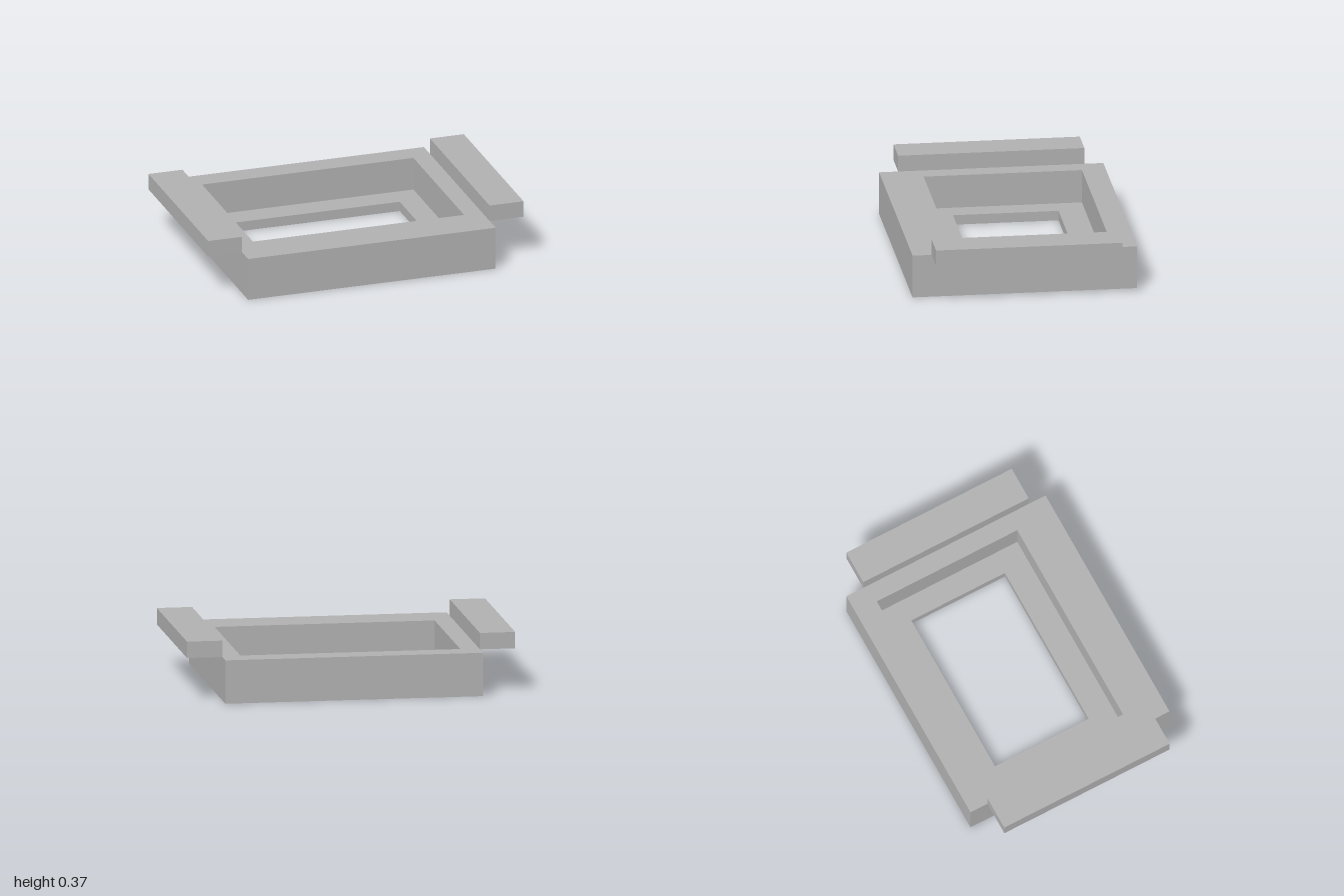
import * as THREE from 'three';

// Rectangular ring lying flat: outer half sizes, opening bounds, bottom and top heights
function frame(halfX, halfZ, holeX, holeBack, holeFront, y0, y1, material, name) {
  const shape = new THREE.Shape();
  shape.moveTo(-halfX, -halfZ).lineTo(halfX, -halfZ).lineTo(halfX, halfZ).lineTo(-halfX, halfZ).closePath();
  const hole = new THREE.Path();
  // shape y becomes -z once the ring is laid flat
  hole.moveTo(-holeX, -holeFront).lineTo(-holeX, -holeBack).lineTo(holeX, -holeBack).lineTo(holeX, -holeFront).closePath();
  shape.holes.push(hole);
  const geometry = new THREE.ExtrudeGeometry(shape, { depth: y1 - y0, bevelEnabled: false });
  geometry.rotateX(-Math.PI / 2).translate(0, y0, 0);
  const mesh = new THREE.Mesh(geometry, material);
  mesh.name = name;
  return mesh;
}

export function createModel() {
  const group = new THREE.Group();
  group.name = 'steppedFrame';
  const grey = new THREE.MeshStandardMaterial({ color: 0xb0b0b0 });
  grey.name = 'light grey';

  const floorTop = 0.06, rimTop = 0.265, barTop = 0.365;
  const halfX = 0.785, halfZ = 0.68;

  // Bottom ledge with the smaller opening, then the taller walls around it
  group.add(frame(halfX, halfZ, 0.53, -0.375, 0.265, 0, floorTop, grey, 'bottomLedge'));
  group.add(frame(halfX, halfZ, 0.67, -0.535, 0.425, floorTop, rimTop, grey, 'walls'));

  // Side bars meeting the top outer edges
  for (const side of [-1, 1]) {
    const bar = new THREE.Mesh(new THREE.BoxGeometry(1 - halfX, barTop - rimTop, 1.13), grey);
    bar.position.set(side * (1 + halfX) / 2, (rimTop + barTop) / 2, 0);
    bar.name = side > 0 ? 'leftBar' : 'rightBar';
    group.add(bar);
  }
  return group;
}
